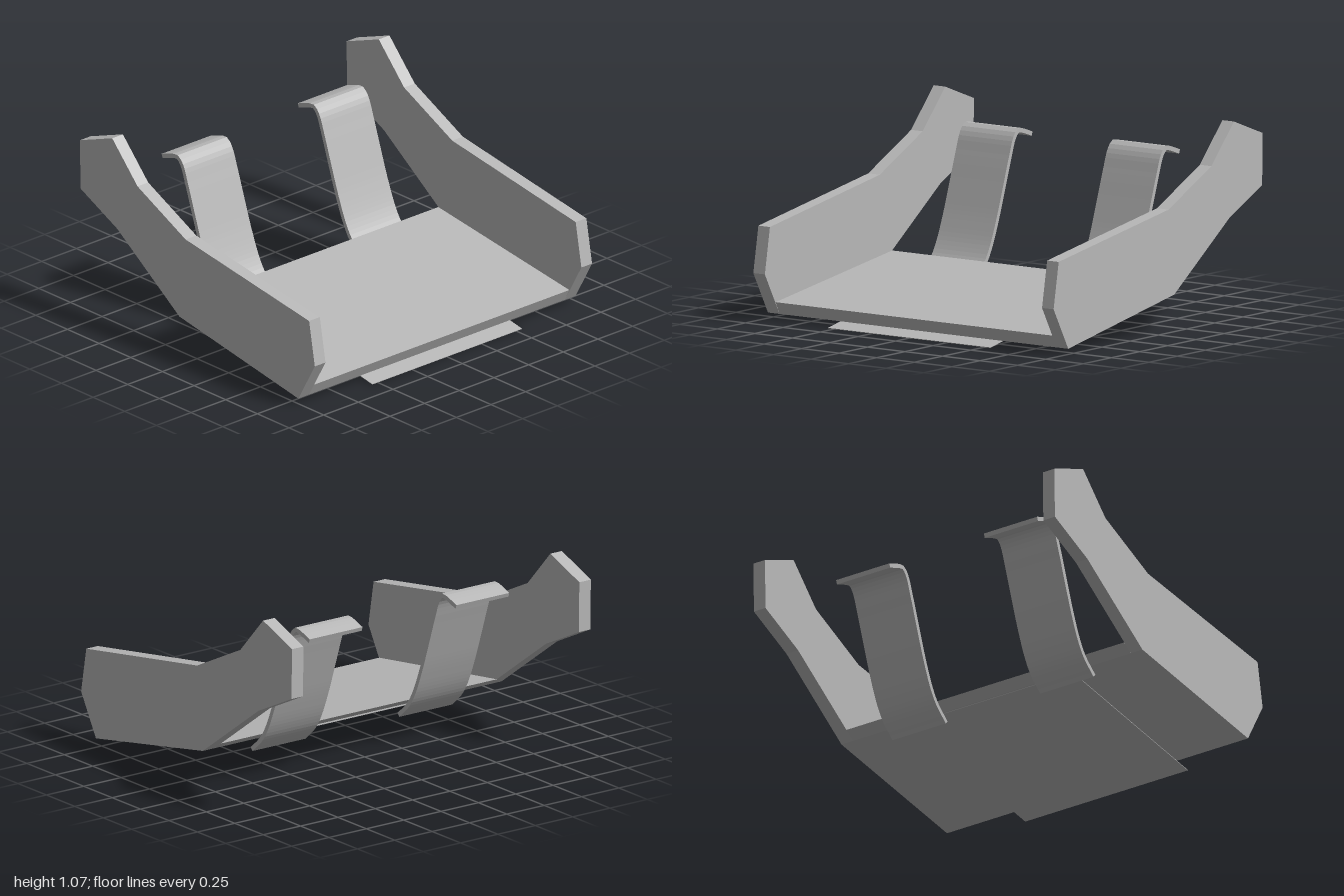
import * as THREE from 'three';

const grey = new THREE.MeshStandardMaterial({ color: 0xb8b8b8 });
grey.name = 'plain grey';

// Extrudes a side outline of [z, y] points along x, from x0 to x1.
function sideExtrude(name, outline, x0, x1) {
  const shape = new THREE.Shape(outline.map(([z, y]) => new THREE.Vector2(-z, y)));
  const geometry = new THREE.ExtrudeGeometry(shape, { depth: x1 - x0, bevelEnabled: false });
  geometry.rotateY(Math.PI / 2);
  geometry.translate(x0, 0, 0);
  const mesh = new THREE.Mesh(geometry, grey);
  mesh.name = name;
  return mesh;
}

// Thickens a smooth [z, y] centre line into a closed outline.
function ribbon(points, thickness, steps) {
  const curve = new THREE.CatmullRomCurve3(
    points.map(([z, y]) => new THREE.Vector3(z, y, 0)), false, 'centripetal');
  const a = [], b = [];
  for (let i = 0; i <= steps; i++) {
    const p = curve.getPointAt(i / steps);
    const t = curve.getTangentAt(i / steps);
    const h = thickness / 2;
    a.push([p.x - t.y * h, p.y + t.x * h]);
    b.unshift([p.x + t.y * h, p.y - t.x * h]);
  }
  return [...a, ...b];
}

export function createModel() {
  const model = new THREE.Group();
  model.name = 'cradle';

  // Two bent side panels
  const panel = [
    [0.80, 0.03], [0.93, 0.26], [0.885, 0.51], [-0.09, 0.665], [-0.47, 0.85],
    [-0.67, 1.065], [-0.925, 0.97], [-0.92, 0.69], [-0.63, 0.55], [-0.14, 0.20],
  ];
  model.add(sideExtrude('leftPanel', panel, 0.923, 1));
  model.add(sideExtrude('rightPanel', panel, -1, -0.923));

  // Sloping floor between the panels
  const floor = [[0.80, 0.03], [0.835, 0.098], [-0.20, 0.242], [-0.14, 0.20]];
  model.add(sideExtrude('floor', floor, -0.923, 0.923));

  // Thin plate under the floor, reaching out at the front
  const plate = [[0.88, 0], [0.88, 0.003], [-0.14, 0.194], [-0.14, 0.191]];
  model.add(sideExtrude('underPlate', plate, -0.54, 0.54));

  // Two curved straps, hooked at the top
  const strap = ribbon([
    [-0.128, 0.142], [-0.215, 0.222], [-0.265, 0.30], [-0.325, 0.44], [-0.385, 0.61],
    [-0.44, 0.77], [-0.48, 0.873], [-0.515, 0.908], [-0.555, 0.902], [-0.635, 0.875],
  ], 0.024, 40);
  model.add(sideExtrude('leftStrap', strap, 0.31, 0.664));
  model.add(sideExtrude('rightStrap', strap, -0.672, -0.318));

  return model;
}
